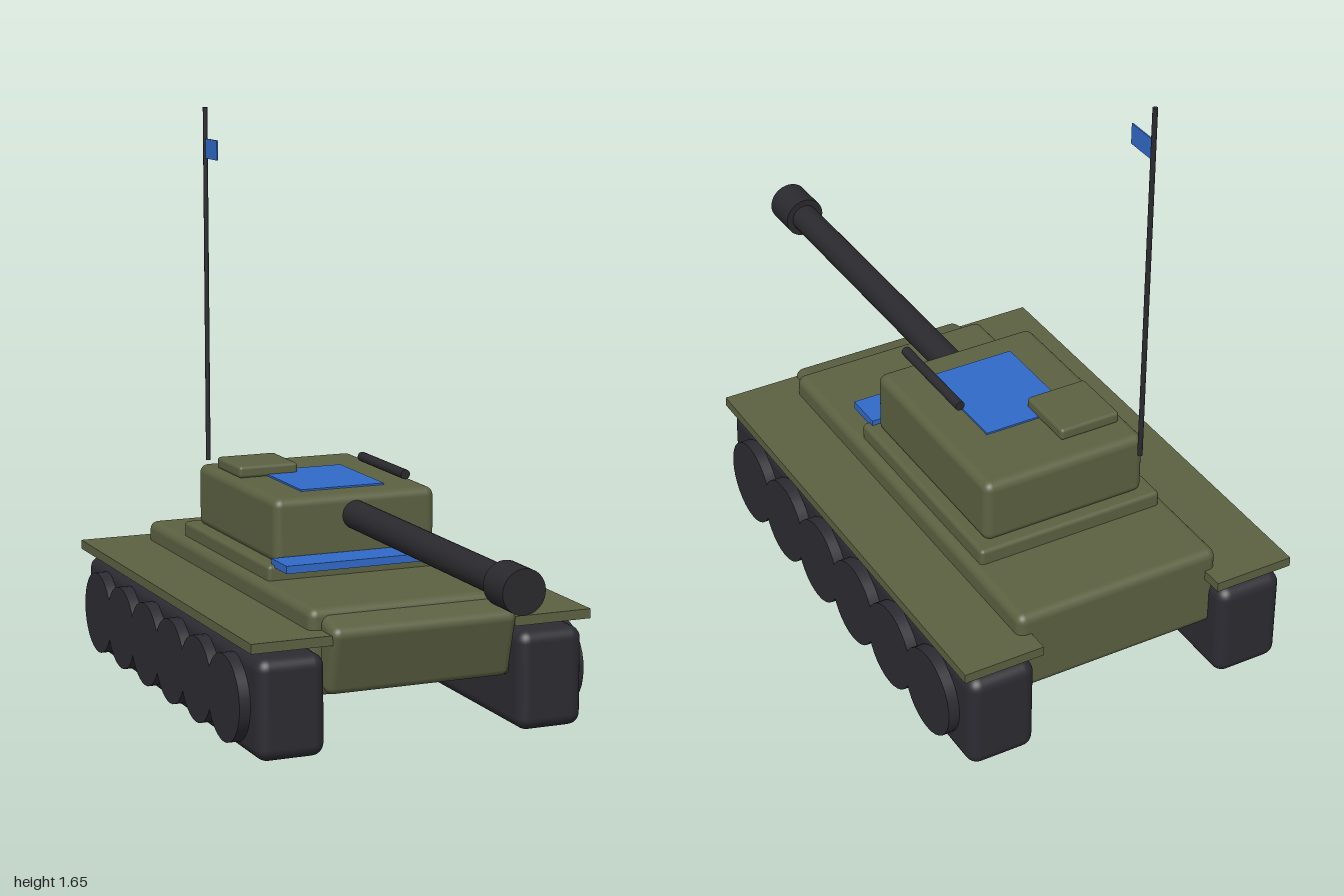
import * as THREE from 'three';
import { RoundedBoxGeometry } from 'three/addons/geometries/RoundedBoxGeometry.js';

export function createModel() {
  const model = new THREE.Group();
  model.name = 'tank';

  const material = (name, color) => {
    const m = new THREE.MeshStandardMaterial({ color });
    m.name = name;
    return m;
  };
  const olive = material('olive armour', 0x5c6142);
  const dark = material('dark running gear', 0x2b2b32);
  const gunmetal = material('gunmetal', 0x2a2a2e);
  const blue = material('blue marking', 0x316ac8);

  const add = (name, geometry, mat) => {
    const mesh = new THREE.Mesh(geometry, mat);
    mesh.name = name;
    model.add(mesh);
    return mesh;
  };

  // Box given by its extents on each axis; a radius rounds its edges
  const box = (name, mat, [x0, x1], [y0, y1], [z0, z1], radius = 0) => {
    const size = [x1 - x0, y1 - y0, z1 - z0];
    const geometry = radius
      ? new RoundedBoxGeometry(...size, 4, radius)
      : new THREE.BoxGeometry(...size);
    const mesh = add(name, geometry, mat);
    mesh.position.set((x0 + x1) / 2, (y0 + y1) / 2, (z0 + z1) / 2);
    return mesh;
  };

  // Cylinder lying along z
  const rod = (name, mat, radius, x, y, z0, z1, sides = 32) => {
    const geometry = new THREE.CylinderGeometry(radius, radius, z1 - z0, sides);
    geometry.rotateX(Math.PI / 2);
    add(name, geometry, mat).position.set(x, y, (z0 + z1) / 2);
  };

  // Hull and tilted nose plate
  box('hull', olive, [-0.305, 0.305], [0.15, 0.39], [-0.938, 0.35], 0.025);
  const nose = box('nosePlate', olive, [-0.272, 0.272], [0.17, 0.37], [0.29, 0.41], 0.025);
  nose.position.set(0, 0.267, 0.353);
  nose.rotation.x = 0.27;

  // Tracks, road wheels and fenders on both sides
  for (const side of [-1, 1]) {
    const label = side > 0 ? 'left' : 'right';
    const span = (a, b) => (side > 0 ? [a, b] : [-b, -a]);
    box(label + 'Track', dark, span(0.285, 0.48), [0.005, 0.285], [-1, 0.42], 0.035);
    box(label + 'Fender', olive, span(0.268, 0.5), [0.306, 0.333], [-1, 0.418]);
    for (let i = 0; i < 6; i++) {
      const geometry = new THREE.CylinderGeometry(0.121, 0.121, 0.08, 32);
      geometry.rotateZ(Math.PI / 2);
      add(label + 'Wheel' + (i + 1), geometry, dark)
        .position.set(side * 0.471, 0.147, 0.24 - i * 0.211);
    }
  }

  // Turret ring, turret and hatch
  box('turretRing', olive, [-0.278, 0.278], [0.37, 0.433], [-0.692, -0.015], 0.012);
  box('turret', olive, [-0.245, 0.245], [0.425, 0.61], [-0.658, -0.045], 0.025);
  box('hatch', olive, [-0.217, -0.035], [0.608, 0.643], [-0.572, -0.388], 0.01);

  // Blue recognition panels
  box('frontPanel', blue, [-0.258, 0.258], [0.426, 0.448], [-0.04, 0.07]);
  box('roofPanel', blue, [-0.13, 0.125], [0.607, 0.615], [-0.45, -0.135]);

  // Main gun, muzzle and roof machine gun
  rod('barrel', gunmetal, 0.041, 0, 0.55, -0.1, 0.9);
  rod('muzzle', gunmetal, 0.06, 0, 0.55, 0.89, 1);
  rod('machineGun', gunmetal, 0.014, 0.152, 0.653, -0.352, -0.045, 16);

  // Antenna with pennant
  add('antenna', new THREE.CylinderGeometry(0.007, 0.007, 1.05, 12), gunmetal)
    .position.set(-0.188, 1.131, -0.722);
  box('pennant', blue, [-0.19, -0.186], [1.507, 1.565], [-0.722, -0.623]);

  return model;
}
